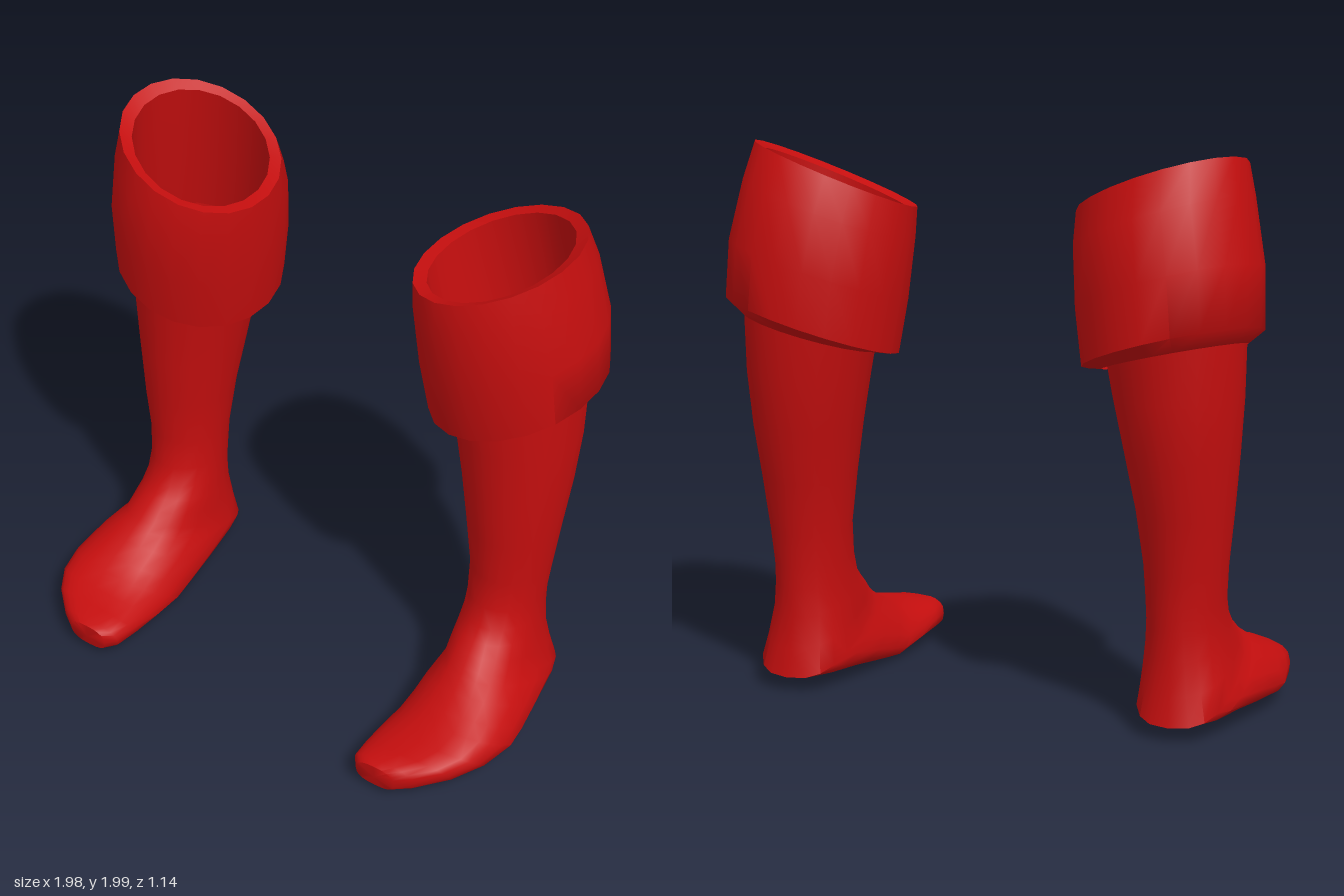
import * as THREE from 'three';
import { toCreasedNormals } from 'three/addons/utils/BufferGeometryUtils.js';

const SEGMENTS = 20;

// Ring: [x min, x max, front z, front y, back z, back y, sideways tilt, squareness, taper]
const cuffRings = [
  [0.45, 0.93, 0.0, 1.38, -0.49, 1.42, 0.2],
  [0.42, 0.90, 0.02, 1.53, -0.47, 1.62, 0.3],
  [0.37, 0.865, 0.04, 1.835, -0.43, 1.935, 0.36],
  [0.322, 0.908, 0.08, 1.845, -0.46, 1.95, 0.36],
  [0.325, 0.935, 0.1, 1.75, -0.525, 1.82, 0.33],
  [0.345, 0.98, 0.09, 1.51, -0.565, 1.62, 0.3],
  [0.375, 0.99, 0.06, 1.305, -0.57, 1.42, 0.29],
  [0.44, 0.935, 0.0, 1.3, -0.5, 1.37, 0.25],
];

const legRings = [
  [0.45, 0.93, 0.0, 1.38, -0.5, 1.42, 0.2],
  [0.48, 0.925, -0.01, 1.2, -0.485, 1.2],
  [0.52, 0.91, -0.02, 1.0, -0.455, 1.0],
  [0.555, 0.89, -0.03, 0.8, -0.41, 0.8],
  [0.58, 0.87, -0.045, 0.62, -0.375, 0.6],
  [0.585, 0.86, -0.03, 0.5, -0.365, 0.48],
];

// Rings fan round from the level ankle to the upright toe
const footRings = [
  [0.585, 0.86, -0.03, 0.5, -0.365, 0.48],
  [0.585, 0.862, 0.0, 0.43, -0.365, 0.4],
  [0.58, 0.87, 0.04, 0.39, -0.365, 0.3, 0, 2.1, 0.02],
  [0.575, 0.885, 0.08, 0.36, -0.385, 0.18, 0, 2.3, 0.05],
  [0.57, 0.9, 0.12, 0.325, -0.405, 0.08, 0.02, 2.5, 0.1],
  [0.56, 0.92, 0.15, 0.305, -0.33, 0.07, 0.04, 2.5, 0.14],
  [0.545, 0.945, 0.2, 0.27, -0.15, 0.06, 0.07, 2.5, 0.18],
  [0.54, 0.96, 0.27, 0.235, 0.0, 0.045, 0.09, 2.6, 0.2],
  [0.535, 0.965, 0.33, 0.208, 0.1, 0.035, 0.1, 2.7, 0.18],
  [0.53, 0.94, 0.41, 0.185, 0.26, 0.05, 0.08, 2.8, 0.14],
  [0.53, 0.88, 0.48, 0.172, 0.4, 0.055, 0.06, 2.8, 0.1],
  [0.54, 0.79, 0.545, 0.165, 0.51, 0.05, 0.04, 2.8, 0.05],
  [0.57, 0.73, 0.572, 0.155, 0.562, 0.055, 0.02, 2.6],
];

// Skin a list of rings; side is 1 for the left boot and -1 for the mirrored right boot
function loft(rings, side, capEnd) {
  const positions = [];
  const index = [];
  const face = (a, b, c) => (side > 0 ? index.push(a, b, c) : index.push(a, c, b));

  for (const [x0, x1, zf, yf, zb, yb, tilt = 0, power = 2, taper = 0] of rings) {
    for (let j = 0; j < SEGMENTS; j++) {
      const t = (j / SEGMENTS) * Math.PI * 2;
      const round = (v) => Math.sign(v) * Math.pow(Math.abs(v), 2 / power);
      const s = round(Math.sin(t));
      const dx = round(Math.cos(t)) * ((x1 - x0) / 2) * (1 - taper * s);
      positions.push(
        side * ((x0 + x1) / 2 + dx),
        (yf + yb) / 2 + (s * (yf - yb)) / 2 + tilt * dx,
        (zf + zb) / 2 + (s * (zf - zb)) / 2,
      );
    }
  }

  for (let i = 0; i < rings.length - 1; i++) {
    for (let j = 0; j < SEGMENTS; j++) {
      const k = (j + 1) % SEGMENTS;
      const a = i * SEGMENTS + j;
      const b = i * SEGMENTS + k;
      face(a, b, a + SEGMENTS);
      face(b, b + SEGMENTS, a + SEGMENTS);
    }
  }

  if (capEnd) {
    const [x0, x1, zf, yf, zb, yb] = rings[rings.length - 1];
    const start = (rings.length - 1) * SEGMENTS;
    const tip = positions.length / 3;
    positions.push((side * (x0 + x1)) / 2, (yf + yb) / 2, (zf + zb) / 2 + 0.006);
    for (let j = 0; j < SEGMENTS; j++) face(start + j, start + ((j + 1) % SEGMENTS), tip);
  }

  const geometry = new THREE.BufferGeometry();
  geometry.setAttribute('position', new THREE.Float32BufferAttribute(positions, 3));
  geometry.setIndex(index);
  return toCreasedNormals(geometry, 0.95);
}

export function createModel() {
  const red = new THREE.MeshStandardMaterial({ color: 0xc40e0e, side: THREE.DoubleSide });
  red.name = 'red leather';

  const model = new THREE.Group();
  model.name = 'boots';

  for (const side of [1, -1]) {
    const boot = new THREE.Group();
    boot.name = side > 0 ? 'leftBoot' : 'rightBoot';
    const add = (name, geometry) => {
      const mesh = new THREE.Mesh(geometry, red);
      mesh.name = name;
      boot.add(mesh);
    };
    // Folded cuff: inner wall, rim, outer wall and underside
    add('cuff', loft(cuffRings, side, false));
    // Shaft and foot share one smooth skin
    add('shaftAndFoot', loft([...legRings, ...footRings.slice(1)], side, true));
    model.add(boot);
  }
  return model;
}
